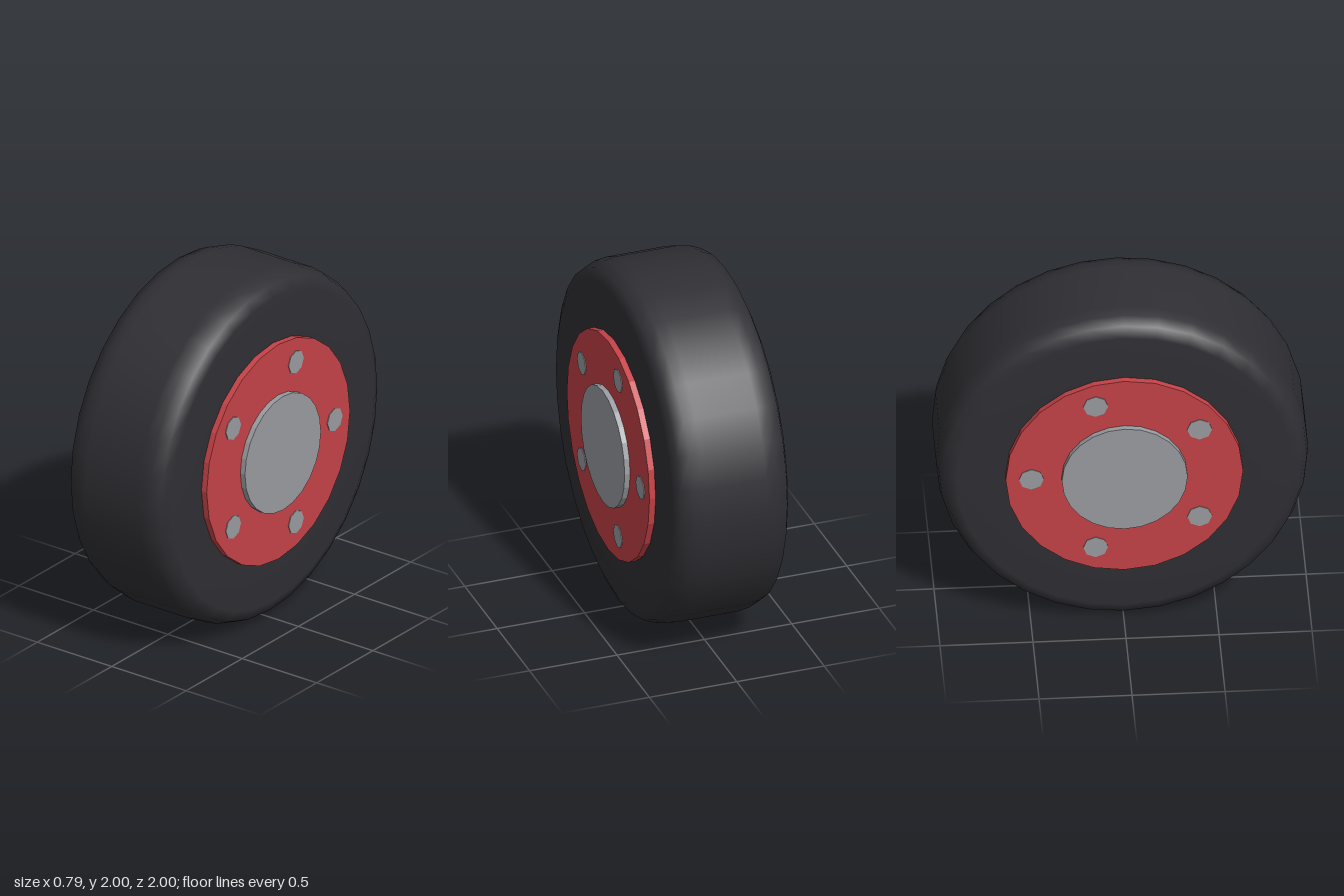
import * as THREE from 'three';

// Cylinder lying along x, centred on the axle
function axleDisc(name, radius, halfWidth, sides, material) {
  const geometry = new THREE.CylinderGeometry(radius, radius, halfWidth * 2, sides);
  geometry.rotateZ(-Math.PI / 2);
  const mesh = new THREE.Mesh(geometry, material);
  mesh.name = name;
  return mesh;
}

export function createModel() {
  const rubber = new THREE.MeshStandardMaterial({ color: 0x2f2f34 });
  const red = new THREE.MeshStandardMaterial({ color: 0xc44247, flatShading: true });
  const metal = new THREE.MeshStandardMaterial({ color: 0x999ba0, flatShading: true });

  const model = new THREE.Group();
  model.name = 'wheel';
  const wheel = new THREE.Group();
  wheel.name = 'wheelAssembly';
  wheel.position.y = 1;
  model.add(wheel);

  // Tyre: half profile as [radius, offset along axle], mirrored to the other side
  const half = [[0.6, 0.33], [0.9, 0.33], [0.963, 0.303], [0.99, 0.24], [1, 0.175]];
  const profile = [
    ...half.map(([r, x]) => new THREE.Vector2(r, -x)),
    ...half.slice().reverse().map(([r, x]) => new THREE.Vector2(r, x)),
  ];
  const tyreGeometry = new THREE.LatheGeometry(profile, 32);
  tyreGeometry.rotateZ(-Math.PI / 2);
  const tyre = new THREE.Mesh(tyreGeometry, rubber);
  tyre.name = 'tyre';
  wheel.add(tyre);

  // Rim and hub run right through, showing on both sides
  wheel.add(axleDisc('rim', 0.638, 0.365, 24, red));
  wheel.add(axleDisc('hub', 0.338, 0.396, 24, metal));

  // Five bolts, almost flush with the rim, the first one towards the back
  const bolts = new THREE.Group();
  bolts.name = 'bolts';
  for (let i = 0; i < 5; i++) {
    const angle = (i / 5) * Math.PI * 2;
    const bolt = axleDisc('bolt', 0.067, 0.369, 8, metal);
    bolt.position.set(0, 0.5 * Math.sin(angle), -0.5 * Math.cos(angle));
    bolts.add(bolt);
  }
  wheel.add(bolts);

  return model;
}
